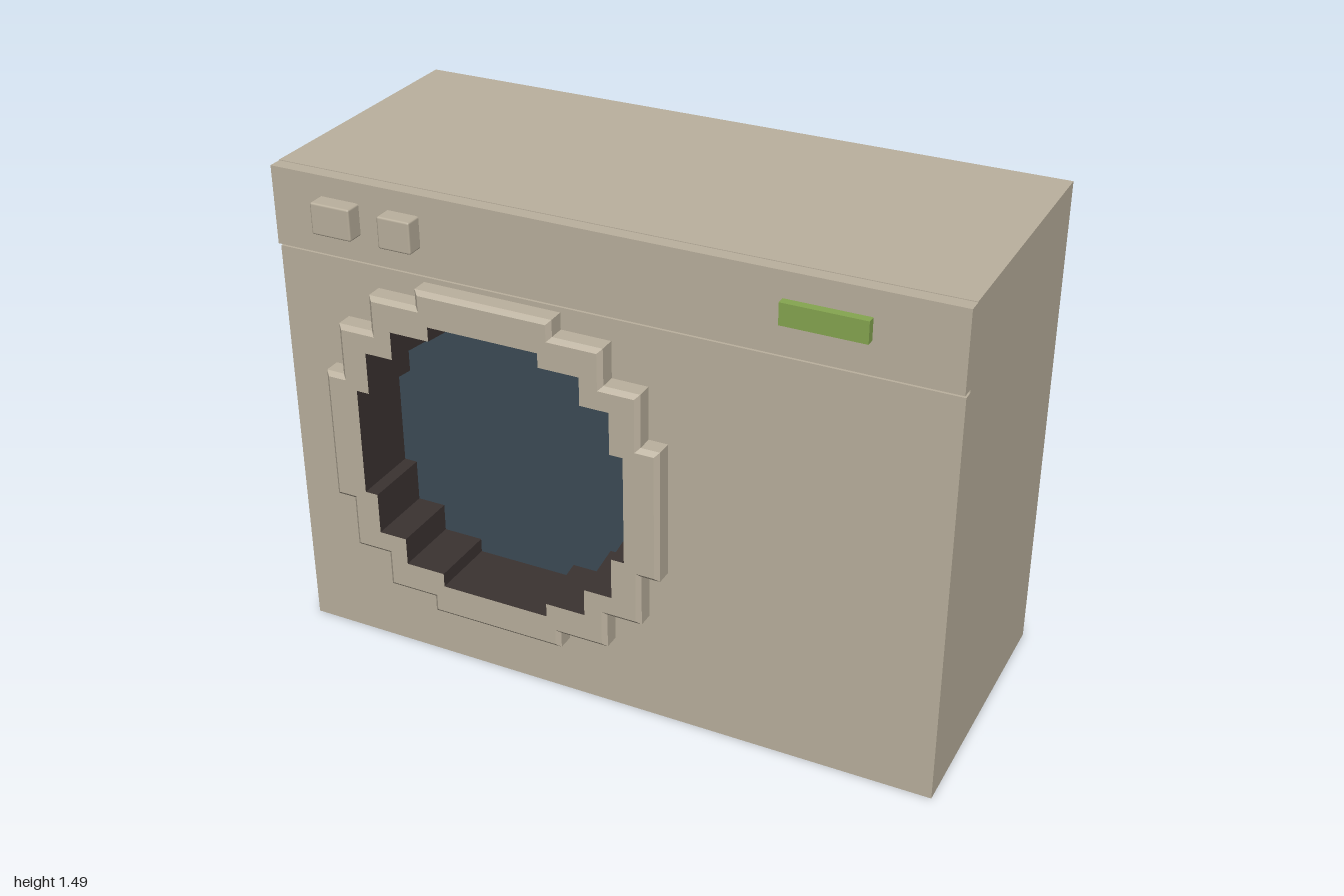
import * as THREE from 'three';
import { RoundedBoxGeometry } from 'three/addons/geometries/RoundedBoxGeometry.js';

const CX = -0.322, CY = 0.705; // centre of the round door

// [half width, half height] of the steps that make the blocky circles
const OUTER = [[0.525, 0.205], [0.468, 0.365], [0.36, 0.475], [0.21, 0.525]];
const INNER = [[0.42, 0.167], [0.38, 0.295], [0.293, 0.38], [0.17, 0.423]];

// Counter-clockwise stepped outline, shrunk by inset
function outline(steps, inset = 0) {
  const q = [];
  steps.forEach(([w, h], i) => {
    if (i > 0) q.push([w - inset, steps[i - 1][1] - inset]);
    q.push([w - inset, h - inset]);
  });
  const r = [...q].reverse();
  return [
    ...q,
    ...r.map(([x, y]) => [-x, y]),
    ...q.map(([x, y]) => [-x, -y]),
    ...r.map(([x, y]) => [x, -y]),
  ].map(([x, y]) => new THREE.Vector2(CX + x, CY + y));
}

// Flat-sided wall between two outlines at different depths
function wall(a, za, b, zb) {
  const pos = [];
  a.forEach((p, i) => {
    const j = (i + 1) % a.length;
    const A = [p.x, p.y, za], B = [a[j].x, a[j].y, za];
    const C = [b[j].x, b[j].y, zb], D = [b[i].x, b[i].y, zb];
    pos.push(...A, ...B, ...C, ...A, ...C, ...D);
  });
  const g = new THREE.BufferGeometry();
  g.setAttribute('position', new THREE.Float32BufferAttribute(pos, 3));
  g.computeVertexNormals();
  return g;
}

export function createModel() {
  const group = new THREE.Group();
  const material = (name, color) => {
    const m = new THREE.MeshStandardMaterial({ color });
    m.name = name;
    return m;
  };
  const casing = material('beige casing', 0xbbb19e);
  const dark = material('dark door lining', 0x3a3230);
  const glass = material('blue grey glass', 0x3c4b56);
  const green = material('green display', 0x86a650);

  const add = (name, geometry, mat, parent = group) => {
    const mesh = new THREE.Mesh(geometry, mat);
    mesh.name = name;
    parent.add(mesh);
    return mesh;
  };
  // Box given by its limits
  const box = (name, mat, x0, x1, y0, y1, z0, z1, radius = 0) => {
    const size = [x1 - x0, y1 - y0, z1 - z0];
    const g = radius ? new RoundedBoxGeometry(...size, 1, radius) : new THREE.BoxGeometry(...size);
    g.translate((x0 + x1) / 2, (y0 + y1) / 2, (z0 + z1) / 2);
    return add(name, g, mat);
  };
  // Full-width slab with the door opening cut through it
  const slab = (name, height, z0, z1) => {
    const s = new THREE.Shape([[-1, 0], [1, 0], [1, height], [-1, height]].map((p) => new THREE.Vector2(...p)));
    s.holes.push(new THREE.Path(outline(INNER, -0.01)));
    const g = new THREE.ExtrudeGeometry(s, { depth: z1 - z0, bevelEnabled: false });
    add(name, g.translate(0, 0, z0), casing);
  };

  // Casing, with a narrow groove below the control panel
  box('body', casing, -1, 1, 0, 1.49, -0.45, 0.25);
  slab('bodyFront', 1.49, 0.25, 0.36);
  slab('frontPlate', 1.245, 0.36, 0.39);
  box('controlPanel', casing, -1, 1, 1.255, 1.488, 0.36, 0.4);

  // Controls
  box('buttonRight', casing, -0.845, -0.72, 1.333, 1.427, 0.39, 0.45, 0.006);
  box('buttonLeft', casing, -0.632, -0.53, 1.333, 1.427, 0.39, 0.45, 0.006);
  box('display', green, 0.52, 0.757, 1.35, 1.413, 0.395, 0.425);

  // Door: chamfered ring, deep lining and recessed glass
  const door = new THREE.Group();
  door.name = 'door';
  group.add(door);
  const rim = outline(OUTER), face = outline(OUTER, 0.013);
  const hole = outline(INNER), back = outline(INNER, 0.014);
  add('ringSide', wall(rim, 0.39, rim, 0.438), casing, door);
  add('ringChamfer', wall(rim, 0.438, face, 0.45), casing, door);
  const front = new THREE.Shape(face);
  front.holes.push(new THREE.Path(hole));
  add('ringFace', new THREE.ShapeGeometry(front), casing, door).position.z = 0.45;
  add('lining', wall(hole, 0.45, back, 0.26), dark, door);
  add('window', new THREE.ShapeGeometry(new THREE.Shape(back)), glass, door).position.z = 0.26;

  return group;
}
